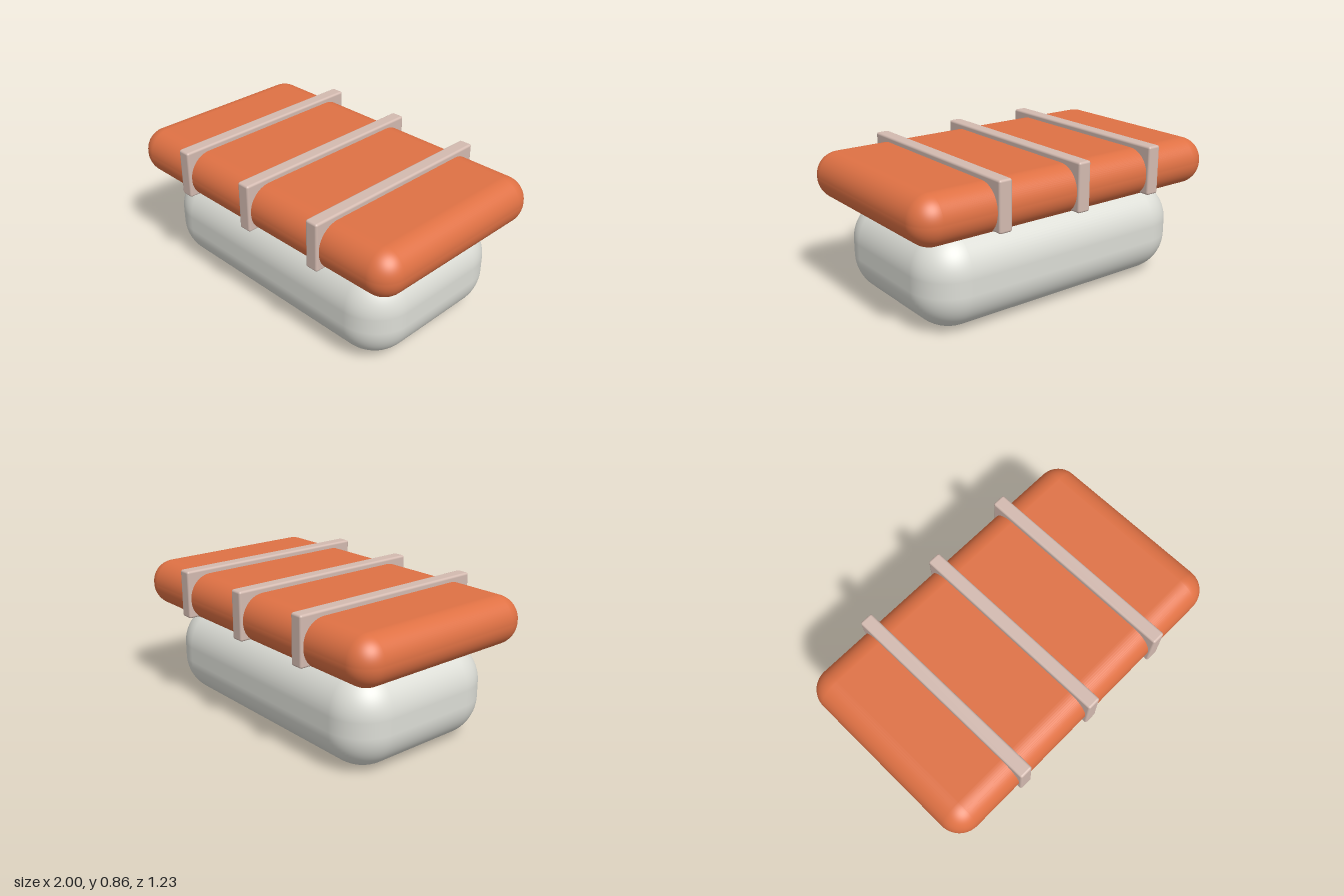
import * as THREE from 'three';
import { RoundedBoxGeometry } from 'three/addons/geometries/RoundedBoxGeometry.js';

const mat = (name, color) => {
  const m = new THREE.MeshStandardMaterial({ color });
  m.name = name;
  return m;
};

export function createModel() {
  const group = new THREE.Group();
  const paleGrey = mat('paleGrey', 0xdcddd6);
  const orange = mat('orange', 0xdf7144);
  const beige = mat('beige', 0xd3bab0);

  // Soft block spanning y0..y1, centred on z
  const block = (name, width, y0, y1, depth, radius, segments, material, x = 0) => {
    const geometry = new RoundedBoxGeometry(width, y1 - y0, depth, segments, radius);
    const mesh = new THREE.Mesh(geometry, material);
    mesh.name = name;
    mesh.position.set(x, (y0 + y1) / 2, 0);
    group.add(mesh);
  };

  // Pillow-like base with the pad resting on it
  block('base', 1.76, 0, 0.557, 1.02, 0.235, 10, paleGrey);
  block('topPad', 2, 0.55, 0.826, 1.192, 0.133, 10, orange);

  // Straps across the pad, their undersides sunk into it
  for (const x of [-0.517, -0.003, 0.513]) {
    block('strap', 0.08, 0.576, 0.857, 1.226, 0.013, 3, beige, x);
  }

  return group;
}
